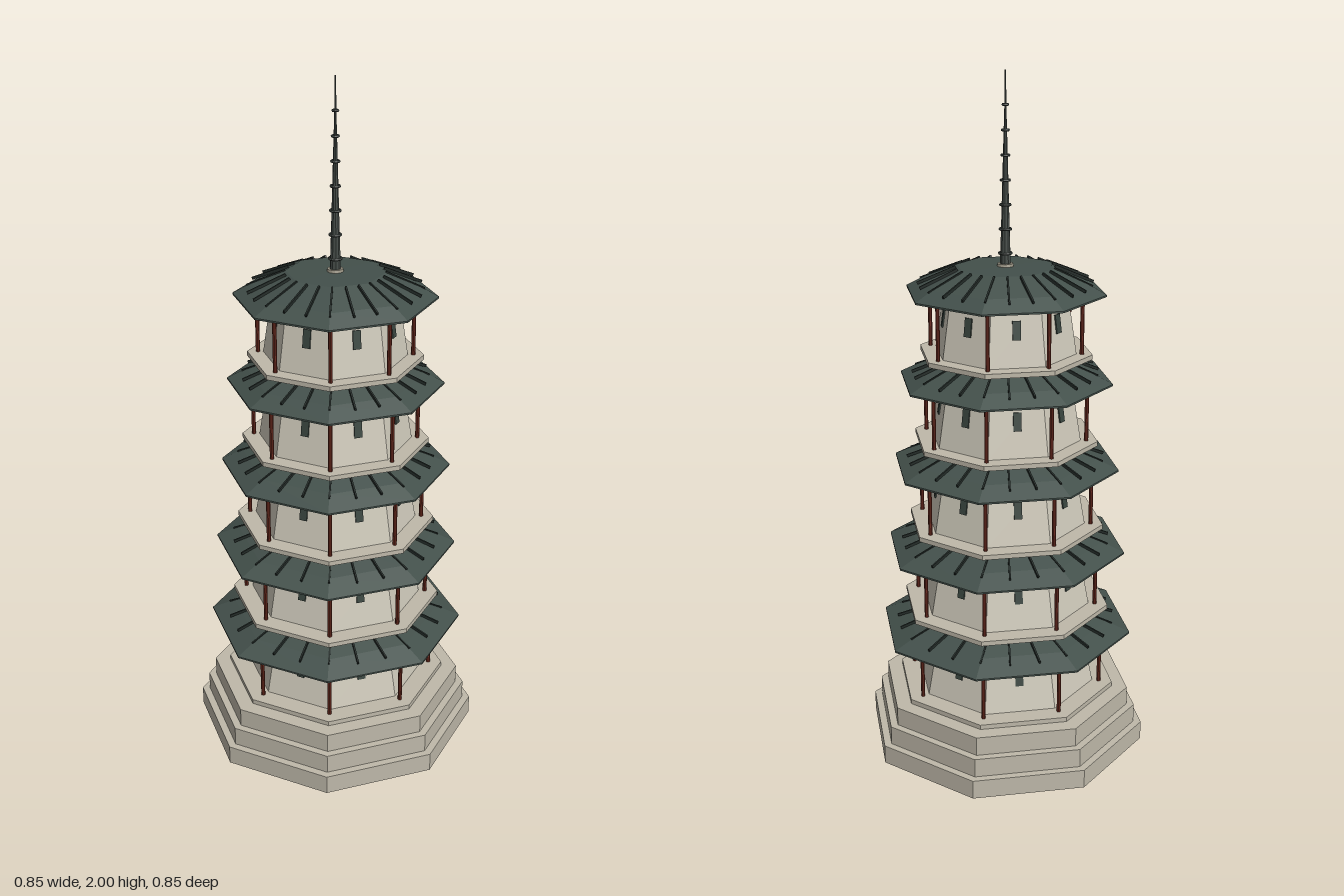
import * as THREE from 'three';

const paint = (name, color) => {
  const m = new THREE.MeshStandardMaterial({ color, flatShading: true });
  m.name = name;
  return m;
};

export function createModel() {
  const stone = paint('stone', 0xbfb9aa);
  const plaster = paint('plaster', 0xcfcabb);
  const tile = paint('roof tile', 0x43504b);
  const ridge = paint('dark ridge', 0x232b28);
  const timber = paint('red timber', 0x6b2a1e);
  const shutter = paint('window', 0x39453f);
  const metal = paint('spire metal', 0x454c48);
  const pale = paint('pale ring', 0x9a9484);

  const pagoda = new THREE.Group();
  pagoda.name = 'pagoda';
  const add = (parent, name, geometry, material, x = 0, y = 0, z = 0) => {
    const mesh = new THREE.Mesh(geometry, material);
    mesh.name = name;
    mesh.position.set(x, y, z);
    parent.add(mesh);
    return mesh;
  };
  // Octagonal block standing on y, corners on the axes
  const block = (parent, name, rBottom, rTop, y, h, material) =>
    add(parent, name, new THREE.CylinderGeometry(rTop, rBottom, h, 8), material, 0, y + h / 2);
  // Pivot turned around the vertical axis
  const spoke = (parent, name, angle) => {
    const pivot = new THREE.Group();
    pivot.name = name;
    pivot.rotation.y = angle;
    parent.add(pivot);
    return pivot;
  };

  // Stepped plinth
  [0.426, 0.403, 0.38].forEach((r, i) => block(pagoda, 'plinthStep', r, r, i * 0.057, 0.057, stone));

  // Five storeys, each smaller than the one below
  for (let i = 0; i < 5; i++) {
    const s = 1 - 0.06 * i;
    const storey = new THREE.Group();
    storey.name = 'storey' + (i + 1);
    storey.position.y = 0.171 + i * 0.2585;
    pagoda.add(storey);

    block(storey, 'floorSlab', 0.333 * s, 0.333 * s, 0, 0.014, stone);
    const wallBottom = 0.272 * s, wallTop = 0.236 * s, wallHeight = 0.18;
    block(storey, 'wall', wallBottom, wallTop, 0.014, wallHeight, plaster);

    // Roof with a slight break in its slope
    const profile = [[0, 0.184], [0.382, 0.184], [0.382, 0.189], [0.312, 0.218], [0.185, 0.257], [0, 0.259]]
      .map(([r, y]) => new THREE.Vector2(r * s, y));
    add(storey, 'roof', new THREE.LatheGeometry(profile, 8), tile);

    // Tile ridges radiating down the roof
    const r0 = 0.184 * s, r1 = 0.328 * s, drop = 0.046;
    for (let k = 0; k < 24; k++) {
      const pivot = spoke(storey, 'roofRidge', k * Math.PI / 12);
      const rib = add(pivot, 'ridge', new THREE.BoxGeometry(0.005, 0.008, Math.hypot(r1 - r0, drop)),
        ridge, 0, 0.234, (r0 + r1) / 2);
      rib.rotation.x = Math.atan2(drop, r1 - r0);
    }

    for (let k = 0; k < 8; k++) {
      // Corner columns
      const corner = spoke(storey, 'column', k * Math.PI / 4);
      add(corner, 'columnShaft', new THREE.CylinderGeometry(0.006, 0.006, 0.172, 8), timber, 0, 0.1, 0.292 * s);
      add(corner, 'columnCapital', new THREE.CylinderGeometry(0.009, 0.007, 0.008, 8), timber, 0, 0.18, 0.292 * s);
      // One narrow window per face, leaning with the wall
      const face = spoke(storey, 'windowBay', (k + 0.5) * Math.PI / 4);
      const y = 0.117, apothem = Math.cos(Math.PI / 8);
      const r = (wallBottom + (wallTop - wallBottom) * (y - 0.014) / wallHeight) * apothem;
      const pane = add(face, 'window', new THREE.BoxGeometry(0.023, 0.053, 0.008), shutter, 0, y, r);
      pane.rotation.x = -Math.atan2((wallBottom - wallTop) * apothem, wallHeight);
    }
  }

  // Spire with rings that shrink towards the tip
  const spire = new THREE.Group();
  spire.name = 'spire';
  pagoda.add(spire);
  add(spire, 'spireBase', new THREE.CylinderGeometry(0.022, 0.025, 0.012, 16), pale, 0, 1.465);
  const mast = [[0, 1.455], [0.016, 1.455], [0.011, 1.62], [0.006, 1.8], [0.003, 1.9], [0.002, 2], [0, 2]];
  add(spire, 'mast', new THREE.LatheGeometry(mast.map(([r, y]) => new THREE.Vector2(r, y)), 10), metal);
  for (let i = 0; i < 7; i++) {
    const ring = add(spire, 'spireRing', new THREE.TorusGeometry(0.0175 - 0.0017 * i, 0.0035, 6, 16),
      metal, 0, 1.5 + i * 0.068);
    ring.rotation.x = Math.PI / 2;
  }
  return pagoda;
}
